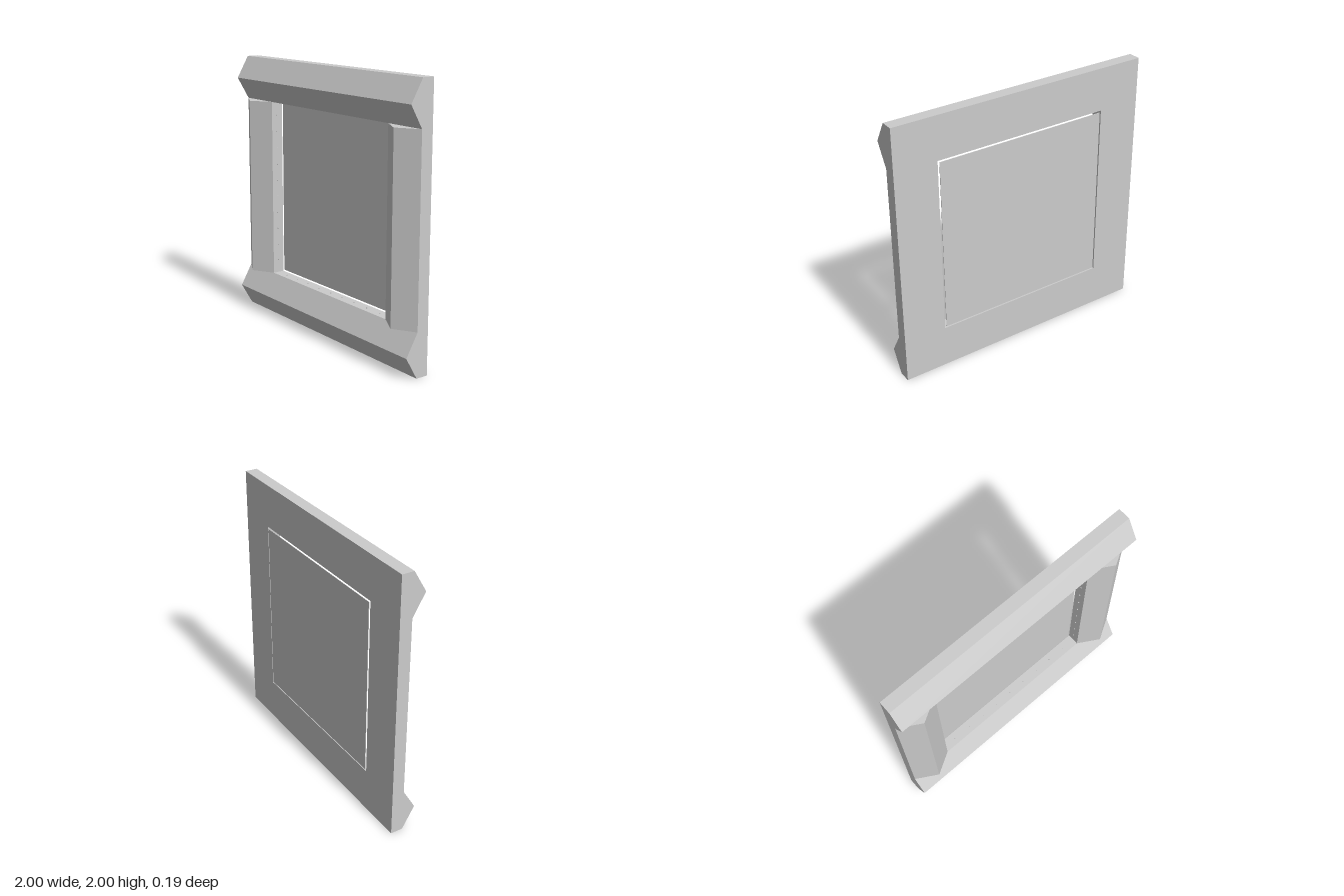
import * as THREE from 'three';

export function createModel() {
  const group = new THREE.Group();
  const grey = new THREE.MeshStandardMaterial({ color: 0xcccccc });
  grey.name = 'light grey';

  const add = (name, geometry, x, y, z) => {
    const mesh = new THREE.Mesh(geometry, grey);
    mesh.name = name;
    mesh.position.set(x, y, z);
    group.add(mesh);
    return mesh;
  };

  // Moulding: flat back with a pointed ridge, upright and centred on its length
  const width = 0.325, half = width / 2, back = -0.092, ridge = 0.095;
  const moulding = (length) => {
    const profile = new THREE.Shape([
      new THREE.Vector2(-half, back), new THREE.Vector2(half, back),
      new THREE.Vector2(half, 0), new THREE.Vector2(0, ridge), new THREE.Vector2(-half, 0),
    ]);
    return new THREE.ExtrudeGeometry(profile, { depth: length, bevelEnabled: false })
      .translate(0, 0, -length / 2)
      .rotateX(Math.PI / 2);
  };

  // Full-width rails, with the posts butted between them
  const inner = 1 - width;
  const railGeometry = moulding(2).rotateZ(Math.PI / 2);
  const postGeometry = moulding(inner * 2);
  add('bottomRail', railGeometry, 0, half, 0);
  add('topRail', railGeometry, 0, 2 - half, 0);
  add('leftPost', postGeometry, 1 - half, 1, 0);
  add('rightPost', postGeometry, half - 1, 1, 0);

  // Thin back panel, slightly smaller than the opening
  add('backPanel', new THREE.BoxGeometry(1.325, 1.325, 0.004), 0, 1, -0.093);

  // Tiny pins standing out of the inner faces of the opening
  const pin = new THREE.CylinderGeometry(0.006, 0.006, 0.01, 6);
  for (let i = 0; i < 10; i++) {
    const t = (i - 4.5) * 0.127;
    for (const side of [-1, 1]) {
      add('sidePin', pin, side * inner, 1 + t, -0.045).rotation.z = Math.PI / 2;
    }
  }
  for (let i = -4; i <= 4; i++) {
    for (const side of [-1, 1]) add('railPin', pin, i * 0.14, 1 + side * inner, -0.045);
  }

  return group;
}
